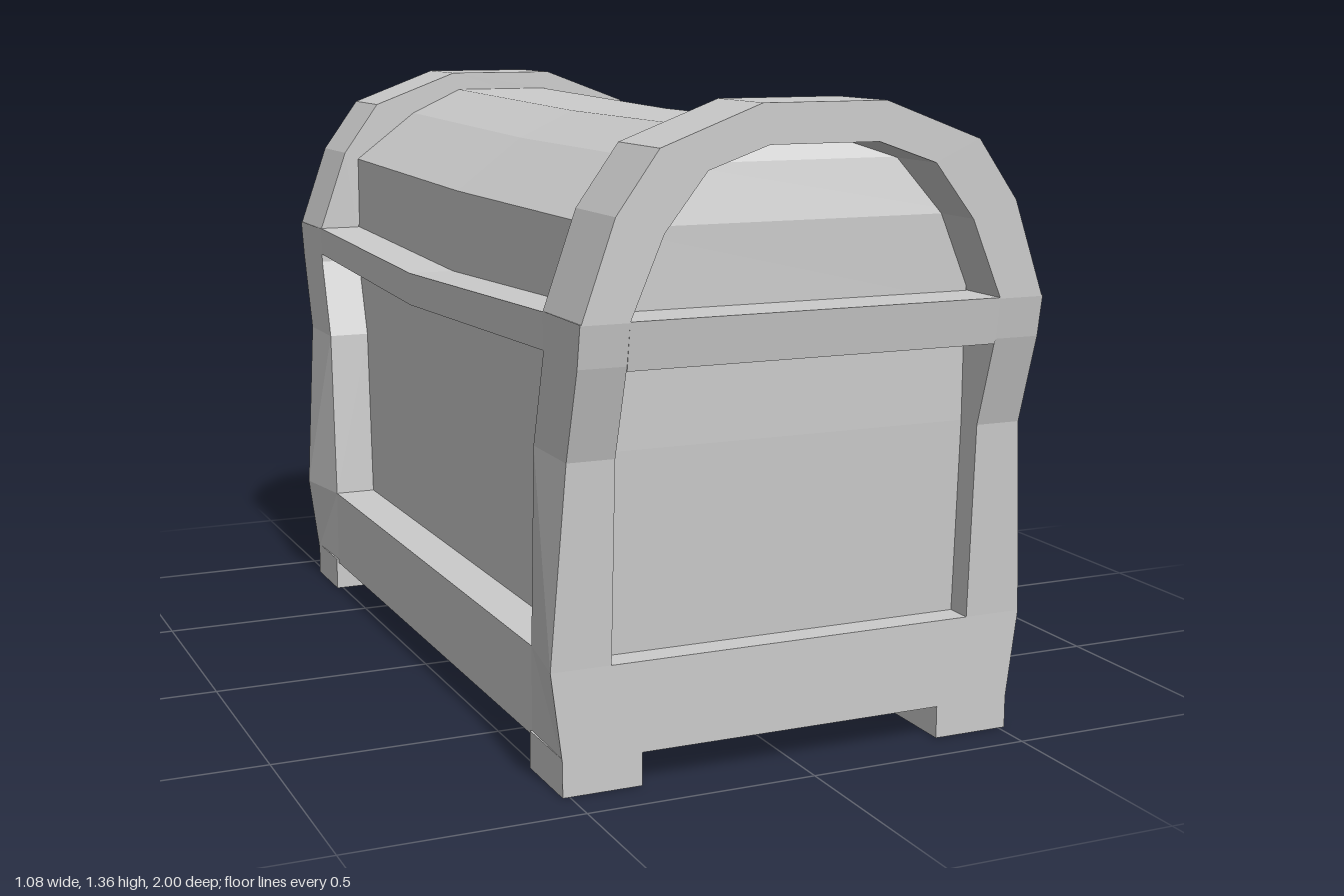
import * as THREE from 'three';

const material = new THREE.MeshStandardMaterial({ color: 0xcccccc, flatShading: true });

// Closed solid through convex cross-sections; winding is fixed from the signed volume.
function loft(sections) {
  const n = sections[0].length, tris = [];
  for (let s = 0; s < sections.length - 1; s++) {
    const a = sections[s], b = sections[s + 1];
    for (let i = 0; i < n; i++) {
      const j = (i + 1) % n;
      tris.push([a[i], a[j], b[j]], [a[i], b[j], b[i]]);
    }
  }
  const first = sections[0], last = sections[sections.length - 1];
  for (let i = 1; i < n - 1; i++) {
    tris.push([first[0], first[i + 1], first[i]], [last[0], last[i], last[i + 1]]);
  }
  const p = new THREE.Vector3(), q = new THREE.Vector3(), r = new THREE.Vector3();
  let volume = 0;
  for (const [a, b, c] of tris) volume += p.set(...a).dot(q.set(...b).cross(r.set(...c)));
  if (volume < 0) tris.forEach((t) => t.reverse());
  const geometry = new THREE.BufferGeometry();
  geometry.setAttribute('position', new THREE.Float32BufferAttribute(tris.flat(2), 3));
  geometry.computeVertexNormals();
  return geometry;
}

// Horizontal rectangle at height y
const rect = (y, x0, x1, z0, z1) => [[x0, y, z0], [x1, y, z0], [x1, y, z1], [x0, y, z1]];

// Corner levels: y, bulging corner x, then outer and inner z for front and back
const LEVELS = [
  { y: 0.07, x: 0.515, front: [0.91, 0.73], back: [-0.885, -0.71] },
  { y: 0.26, x: 0.54, front: [0.91, 0.73], back: [-0.885, -0.71] },
  { y: 0.68, x: 0.512, front: [0.928, 0.75], back: [-0.91, -0.735] },
  { y: 0.87, x: 0.512, front: [0.985, 0.805], back: [-0.977, -0.8] },
  { y: 0.957, x: 0.512, front: [1.0, 0.805], back: [-1.0, -0.803] },
];
const SIDE = 0.51, INNER = 0.41;

export function createModel() {
  const group = new THREE.Group();
  const add = (name, geometry) => {
    const mesh = new THREE.Mesh(geometry, material);
    mesh.name = name;
    group.add(mesh);
  };

  // Base slab between the corner posts
  add('base', loft([0.07, 0.26].map((y) => rect(y, -SIDE, SIDE, -0.885, 0.91))));

  // Recessed body panels, upright above the bend of the posts
  add('body', loft([[0.26, -0.825, 0.85], [0.68, -0.85, 0.868], [0.92, -0.85, 0.868]]
    .map(([y, z0, z1]) => rect(y, -INNER, INNER, z0, z1))));

  for (const end of ['front', 'back']) {
    const dir = end === 'front' ? 1 : -1;
    const [footOut, footIn] = LEVELS[0][end];

    for (const side of [1, -1]) {
      const corner = side > 0 ? 'Left' : 'Right';
      add(end + corner + 'Foot', loft([0, 0.08].map((y) =>
        rect(y, side * 0.343, side * 0.515, footIn, footOut))));
      // Post whose outer corner flares and bends outward
      add(end + corner + 'Post', loft(LEVELS.map((l) => {
        const [zo, zi] = l[end];
        return [[side * INNER, l.y, zo], [side * l.x, l.y, zo],
          [side * SIDE, l.y, zi], [side * INNER, l.y, zi]];
      })));
    }

    // Rail between the posts
    add(end + 'Rail', loft(LEVELS.slice(3).map(({ y, [end]: [zo] }, i) =>
      rect(i ? y : 0.86, -INNER, INNER, dir * 0.83, zo))));

    // Arched band over the lid end
    const outer = [[0.51, 0.955], [0.44, 1.155], [0.35, 1.28], [0.135, 1.36]];
    const inner = [[INNER, 0.955], [0.34, 1.12], [0.25, 1.235], [0.12, 1.28]];
    const mirror = (pts) => pts.map(([x, y]) => [-x, y]).reverse();
    const outline = [...outer, ...mirror(outer),
      ...inner.map(([x, y]) => [-x, y]), ...[...inner].reverse()];
    const shape = new THREE.Shape(outline.map(([x, y]) => new THREE.Vector2(x, y)));
    const arch = new THREE.ExtrudeGeometry(shape, { depth: 0.196, bevelEnabled: false });
    arch.translate(0, 0, dir > 0 ? 0.804 : -1);
    add(end + 'Arch', arch);

    // Lid end: upright wall, then sloping back inside the arch
    const wall = [[0.405, 0.93, 0.88], [0.405, 1.12, 0.88], [0.25, 1.237, 0.85], [0.12, 1.29, 0.808]];
    add(end + 'LidEnd', loft(wall.map(([x, y, z]) => rect(y, -x, x, dir * 0.78, dir * z))));
  }

  // Faceted lid with upright sides, rising slightly to the back
  const lidHalf = [[0.405, 0.9], [0.405, 1.12], [0.25, 1.238], [0.12, 1.298]];
  add('lid', loft([[0.806, 0], [0, 0], [-0.806, 0.018]].map(([z, rise]) => [
    ...lidHalf.map(([x, y]) => [x, y + rise, z]),
    ...[...lidHalf].reverse().map(([x, y]) => [-x, y + rise, z]),
  ])));

  // Sagging side rails
  for (const side of [1, -1]) {
    add(side > 0 ? 'leftRail' : 'rightRail', loft(
      [[0.81, 0.88, 0.956], [-0.04, 0.856, 0.93], [-0.81, 0.89, 0.958]].map(([z, lo, hi]) => [
        [side * 0.4, lo, z], [side * SIDE, lo, z], [side * SIDE, hi, z], [side * 0.4, hi, z],
      ])));
  }
  return group;
}
